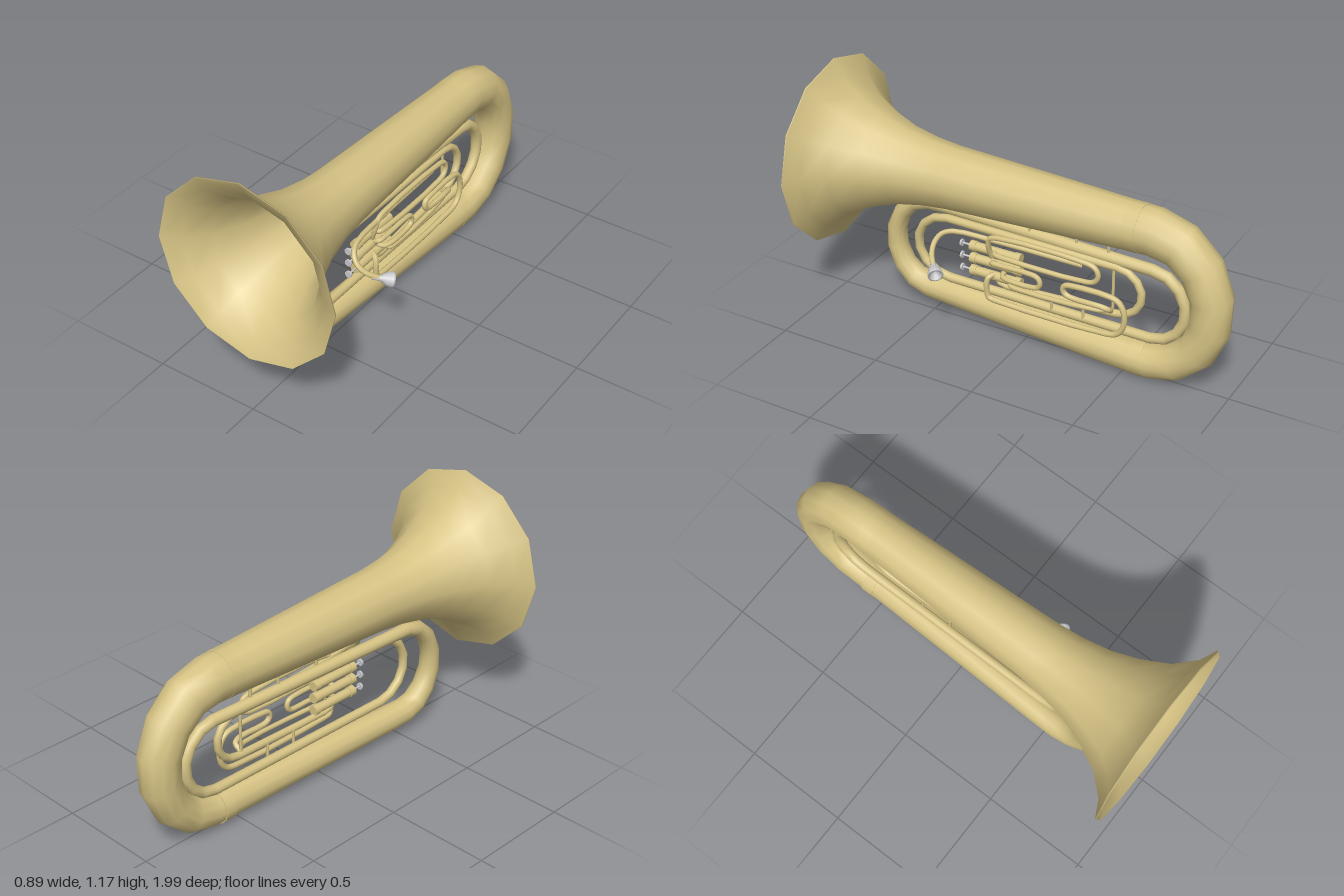
import * as THREE from 'three';

const brass = new THREE.MeshStandardMaterial({ color: 0xd6c384 });
brass.name = 'brass';
const silver = new THREE.MeshStandardMaterial({ color: 0xc8c8cc });
silver.name = 'silver';
const dark = new THREE.MeshStandardMaterial({ color: 0x0a0a0a, side: THREE.DoubleSide });
dark.name = 'dark throat';

const AXIS_Y = 0.735; // height of the bell axis

// Half-ellipse of [z, y, x, r] stations; side -1 curves round the back, +1 round the front
function bend(z, y, rz, ry, side, fromTop, x0, x1, r0, r1, steps = 7) {
  const pts = [];
  for (let i = 0; i <= steps; i++) {
    const t = i / steps, a = Math.PI * t;
    pts.push([z + side * rz * Math.sin(a), y + (fromTop ? 1 : -1) * ry * Math.cos(a),
      x0 + (x1 - x0) * t, r0 + (r1 - r0) * t]);
  }
  return pts;
}

// Tapered tube with one ring (or several) per station
function taperedTube(stations, radial, sub = 1) {
  const curve = new THREE.CatmullRomCurve3(stations.map(([z, y, x]) => new THREE.Vector3(x, y, z)));
  curve.getPointAt = curve.getPoint;
  curve.getTangentAt = curve.getTangent;
  const last = stations.length - 1, rings = last * sub;
  const geo = new THREE.TubeGeometry(curve, rings, 1, radial, false);
  const pos = geo.attributes.position, v = new THREE.Vector3();
  for (let i = 0; i <= rings; i++) {
    const k = Math.min(Math.floor(i / sub), last - 1), f = i / sub - k;
    const r = stations[k][3] * (1 - f) + stations[k + 1][3] * f;
    const c = curve.getPoint(i / rings);
    for (let j = 0; j <= radial; j++) {
      const n = i * (radial + 1) + j;
      v.fromBufferAttribute(pos, n).sub(c).multiplyScalar(r).add(c);
      pos.setXYZ(n, v.x, v.y, v.z);
    }
  }
  return geo;
}

export function createModel() {
  const model = new THREE.Group();
  model.name = 'brassHorn';
  const add = (name, geo, mat, x = 0, y = 0, z = 0) => {
    const mesh = new THREE.Mesh(geo, mat);
    mesh.name = name;
    mesh.position.set(x, y, z);
    model.add(mesh);
    return mesh;
  };
  const lathe = (pts, seg) =>
    new THREE.LatheGeometry(pts.map(([r, z]) => new THREE.Vector2(r, z)), seg).rotateX(Math.PI / 2);
  const rod = (r, len, seg = 12) => new THREE.CylinderGeometry(r, r, len, seg);
  const pipe = (name, r, pts) =>
    add(name, taperedTube(pts.map(([z, y, x]) => [z, y, x, r]), 8, 3), brass);

  // Flared bell, outer skin and inner skin
  const flare = [[0.108, -0.56], [0.119, -0.3], [0.131, 0], [0.146, 0.38], [0.158, 0.5],
    [0.183, 0.63], [0.226, 0.75], [0.288, 0.87], [0.37, 0.955], [0.445, 0.993]];
  add('bellOutside', lathe([...flare, [0.446, 1]], 12), brass, 0, AXIS_Y);
  const inside = flare.slice(3).map(([r, z]) => [r - 0.007, z + 0.004]).reverse();
  add('bellInside', lathe([[0.446, 1], ...inside], 12), brass, 0, AXIS_Y);
  add('bellThroat', lathe([[0.139, 0.384], [0.124, 0], [0, 0]], 12), dark, 0, AXIS_Y);

  // Main body: large rear bow, bottom branch and front bow
  add('mainBows', taperedTube([
    [-0.56, AXIS_Y, 0, 0.109],
    ...bend(-0.62, 0.411, 0.283, 0.323, -1, true, 0, 0.008, 0.108, 0.08),
    [-0.5, 0.09, 0.004, 0.08], [0, 0.094, -0.022, 0.072], [0.45, 0.098, -0.048, 0.064],
    ...bend(0.55, 0.32, 0.182, 0.22, 1, false, -0.052, -0.055, 0.062, 0.034),
    [0.45, 0.54, -0.054, 0.03],
  ], 12), brass);
  // Rings at the joints of the rear bow
  const ring = add('upperFerrule', rod(0.1105, 0.07), brass, 0, AXIS_Y, -0.53);
  ring.rotation.x = Math.PI / 2;
  const ring2 = add('lowerFerrule', rod(0.082, 0.06), brass, 0.004, 0.0885, -0.57);
  ring2.rotation.x = Math.PI / 2;

  // Inner loop of narrowing tube
  add('innerLoop', taperedTube([
    [0.5, 0.54, -0.055, 0.031], [0.4, 0.54, -0.052, 0.03], [0, 0.538, -0.035, 0.029],
    ...bend(-0.61, 0.363, 0.163, 0.173, -1, true, -0.01, -0.012, 0.028, 0.024),
    [-0.3, 0.19, -0.015, 0.023], [0.2, 0.19, -0.02, 0.022],
    ...bend(0.42, 0.35, 0.167, 0.16, 1, false, -0.022, -0.01, 0.022, 0.02),
    [0, 0.51, 0, 0.019],
    ...bend(-0.45, 0.395, 0.122, 0.115, -1, true, 0.005, 0.01, 0.018, 0.018),
    [-0.1, 0.268, 0.015, 0.017], [0.09, 0.262, 0.02, 0.016],
    [0.13, 0.272, 0.02, 0.016], [0.145, 0.3, 0.02, 0.016],
  ], 12), brass);

  // Three valves with caps, stems and finger buttons
  for (const y of [0.425, 0.362, 0.298]) {
    const parts = [
      ['valveCasing', rod(0.022, 0.24), brass, 0.145],
      ['valveCap', rod(0.025, 0.03), brass, 0.265],
      ['valveCap', rod(0.025, 0.03), brass, 0.035],
      ['valveStem', rod(0.005, 0.05, 8), silver, 0.3],
      ['valveButton', rod(0.017, 0.009), silver, 0.328],
    ];
    for (const [name, geo, mat, z] of parts) add(name, geo.rotateX(Math.PI / 2), mat, 0.02, y, z);
  }

  // Lead pipe out to the mouthpiece
  pipe('leadPipe', 0.0125, [[-0.3, 0.495, 0.04], [0.14, 0.503, 0.055], [0.34, 0.507, 0.075],
    [0.39, 0.49, 0.095], [0.41, 0.455, 0.125], [0.4, 0.42, 0.165], [0.365, 0.39, 0.21]]);
  const cup = add('mouthpiece', new THREE.LatheGeometry(
    [[0.012, -0.03], [0.013, 0.01], [0.03, 0.035], [0.036, 0.06], [0.036, 0.068], [0.028, 0.068],
      [0.018, 0.048], [0, 0.04]].map(([r, h]) => new THREE.Vector2(r, h)), 14), silver, 0.207, 0.391, 0.367);
  cup.quaternion.setFromUnitVectors(new THREE.Vector3(0, 1, 0),
    new THREE.Vector3(0.72, -0.24, -0.62).normalize());

  // Valve slides
  pipe('firstSlide', 0.0125, [[0.165, 0.4, 0.03], [0.17, 0.47, 0.055], [0.16, 0.51, 0.06],
    [0.12, 0.525, 0.06], [-0.33, 0.524, 0.06], [-0.37, 0.51, 0.06], [-0.385, 0.477, 0.06],
    [-0.37, 0.445, 0.06], [-0.33, 0.43, 0.06], [0.1, 0.43, 0.06], [0.14, 0.43, 0.05], [0.15, 0.43, 0.02]]);
  pipe('secondSlide', 0.0125, [[0.15, 0.37, 0.02], [0.15, 0.388, 0.06], [0.1, 0.39, 0.065],
    [-0.06, 0.39, 0.065], [-0.09, 0.38, 0.065], [-0.1, 0.357, 0.065], [-0.09, 0.334, 0.065],
    [-0.06, 0.325, 0.065], [0.06, 0.325, 0.065], [0.1, 0.325, 0.05], [0.11, 0.33, 0.02]]);
  pipe('thirdSlide', 0.0135, [[0.15, 0.31, 0.02], [0.17, 0.305, 0.05], [0.177, 0.28, 0.06],
    [0.175, 0.22, 0.06], [0.165, 0.202, 0.06], [0.13, 0.195, 0.06], [-0.43, 0.195, 0.06],
    [-0.48, 0.21, 0.06], [-0.51, 0.25, 0.06], [-0.515, 0.32, 0.06], [-0.49, 0.37, 0.06],
    [-0.45, 0.388, 0.06], [-0.25, 0.388, 0.06], [-0.222, 0.38, 0.06], [-0.213, 0.36, 0.06],
    [-0.222, 0.34, 0.06], [-0.25, 0.328, 0.06], [-0.4, 0.326, 0.06], [-0.43, 0.315, 0.05],
    [-0.43, 0.29, 0.015]]);
  pipe('valveReturn', 0.012, [[0.06, 0.3, 0.02], [0.06, 0.292, 0.05], [0.02, 0.288, 0.058],
    [-0.38, 0.298, 0.05], [-0.42, 0.3, 0.03], [-0.435, 0.285, 0.01]]);

  // Braces: [z, bottom, top, x]
  for (const [z, y0, y1, x] of [[0, 0.54, 0.63, -0.02], [-0.235, 0.54, 0.64, -0.02],
    [-0.395, 0.54, 0.64, -0.015], [-0.125, 0.19, 0.27, 0.0], [-0.285, 0.19, 0.28, 0.0],
    [-0.435, 0.29, 0.51, 0.01]]) {
    add('brace', rod(0.007, y1 - y0, 8), brass, x, (y0 + y1) / 2, z);
  }
  return model;
}
